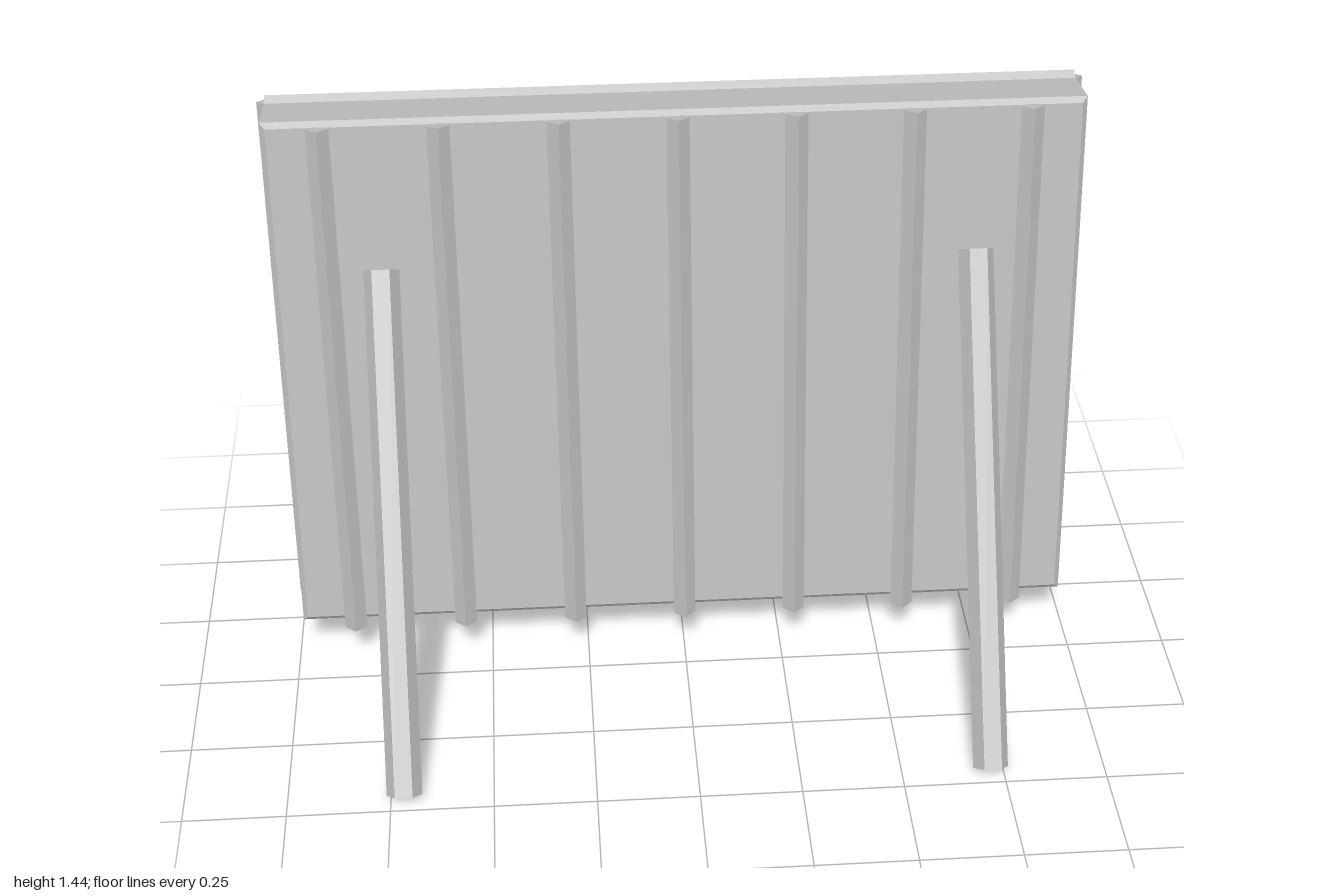
import * as THREE from 'three';

export function createModel() {
  const model = new THREE.Group();
  const grey = new THREE.MeshStandardMaterial({ color: 0xbcbcbc });

  function add(parent, geometry, name, x, y, z) {
    const flat = geometry.index ? geometry.toNonIndexed() : geometry;
    flat.computeVertexNormals();
    const mesh = new THREE.Mesh(flat, grey);
    mesh.name = name;
    mesh.position.set(x, y, z);
    parent.add(mesh);
    return mesh;
  }
  const rod = (radius, length, sides) => new THREE.CylinderGeometry(radius, radius, length, sides);

  // Leaning panel: local y runs up its slope, local z out of its front
  const W = 1.96, H = 1.335, BACK = 0.02, FRONT = 0.192, BEVEL = 0.013;
  const panel = new THREE.Group();
  panel.name = 'leaningPanel';
  panel.position.set(0, 0.0975, -0.262);
  panel.rotation.x = -THREE.MathUtils.degToRad(9.9);
  model.add(panel);

  // Slab with a small bevel around its front face
  const slab = new THREE.BoxGeometry(W, H, 2, 1, 1, 2);
  const p = slab.attributes.position;
  for (let i = 0; i < p.count; i++) {
    const layer = Math.round(p.getZ(i));
    const inset = layer === 1 ? BEVEL : 0;
    p.setXYZ(i,
      p.getX(i) - Math.sign(p.getX(i)) * inset,
      p.getY(i) - Math.sign(p.getY(i)) * inset,
      layer < 0 ? BACK : layer === 0 ? FRONT - BEVEL : FRONT);
  }
  add(panel, slab, 'slab', 0, H / 2, 0);

  // Upright ribs on the front
  for (let i = -3; i <= 3; i++) {
    add(panel, rod(0.0275, 1.337, 4), 'rib', i * 0.2817, 0.654, 0.2025);
  }

  // Edge trim around the back
  for (const side of [-1, 1]) {
    add(panel, rod(0.02, H, 4), 'sideTrim', side * 0.98, H / 2, BACK);
    const bar = add(panel, rod(0.018, W, 4), 'crossTrim', 0, H / 2 + side * (H / 2 - 0.002), BACK);
    bar.rotation.z = Math.PI / 2;
  }

  // Slanted six-sided props
  const foot = new THREE.Vector3(0, 0.02, 0.466);
  const head = new THREE.Vector3(0, 1.098, -0.203);
  const slope = head.clone().sub(foot);
  const centre = foot.clone().add(head).multiplyScalar(0.5);
  for (const side of [-1, 1]) {
    const geometry = rod(0.043, slope.length(), 6).rotateY(Math.PI / 6);
    const prop = add(model, geometry, 'propLeg', side * 0.716, centre.y, centre.z);
    prop.rotation.x = Math.atan2(slope.z, slope.y);
  }
  return model;
}
